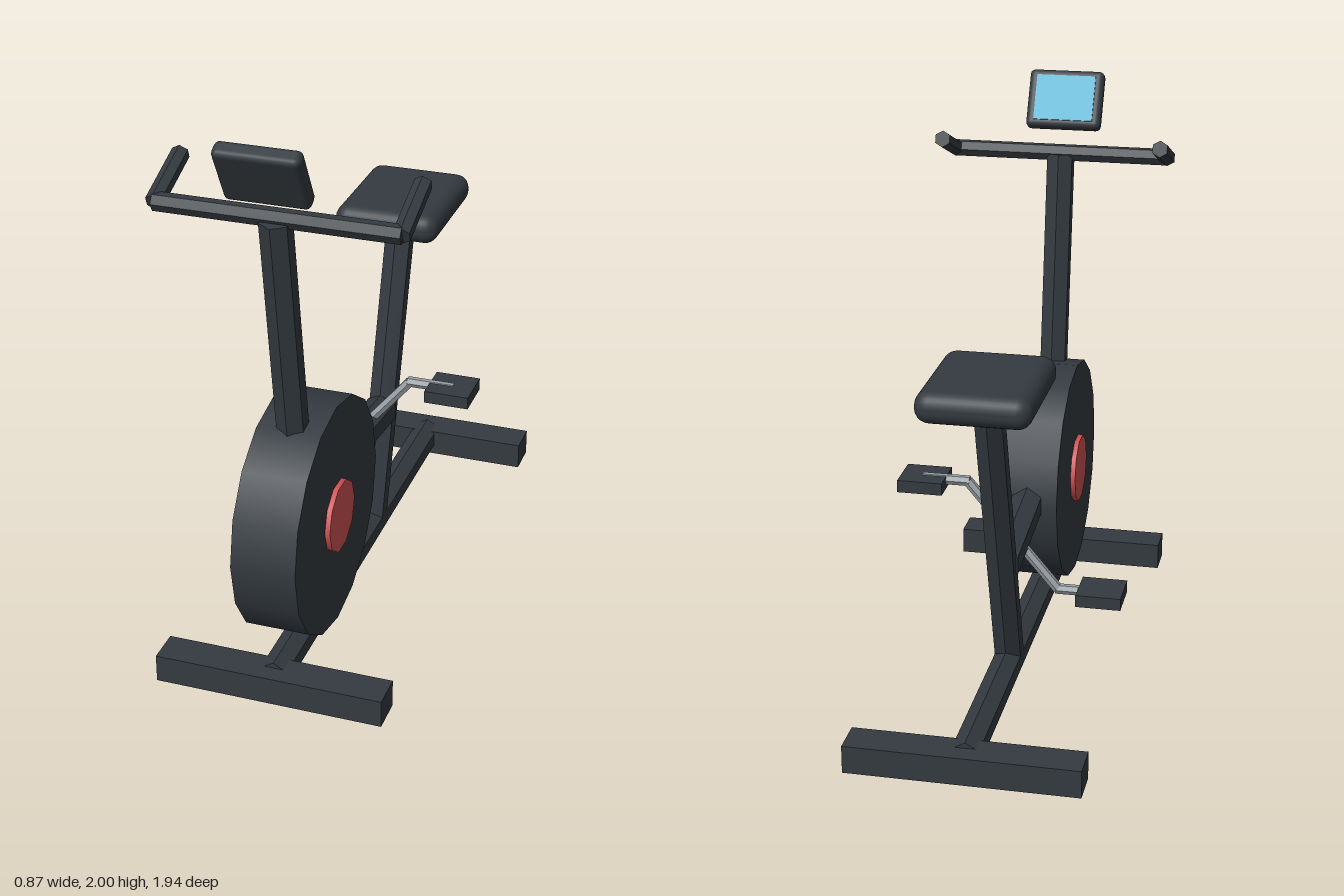
import * as THREE from 'three';
import { toCreasedNormals } from 'three/addons/utils/BufferGeometryUtils.js';
import { RoundedBoxGeometry } from 'three/addons/geometries/RoundedBoxGeometry.js';

function material(name, color) {
  const m = new THREE.MeshStandardMaterial({ color });
  m.name = name;
  return m;
}

export function createModel() {
  const frame = material('charcoal', 0x343a40);
  const red = material('red', 0xd05252);
  const steel = material('steel', 0x9aa0a6);
  const glass = material('screen blue', 0x4fb3d3);

  const model = new THREE.Group();
  model.name = 'exerciseBike';

  function add(name, geometry, mat, x = 0, y = 0, z = 0, parent = model) {
    const mesh = new THREE.Mesh(geometry, mat);
    mesh.name = name;
    mesh.position.set(x, y, z);
    parent.add(mesh);
    return mesh;
  }

  // Six-sided bar between two points
  function bar(name, from, to, radius, mat = frame, parent = model) {
    const a = new THREE.Vector3(...from);
    const b = new THREE.Vector3(...to);
    const dir = b.clone().sub(a);
    const geometry = toCreasedNormals(new THREE.CylinderGeometry(radius, radius, dir.length(), 6), 0.6);
    const mid = a.add(b).multiplyScalar(0.5);
    const mesh = add(name, geometry, mat, mid.x, mid.y, mid.z, parent);
    mesh.quaternion.setFromUnitVectors(new THREE.Vector3(0, 1, 0), dir.normalize());
    return mesh;
  }

  // Drum lying along x
  function drum(name, radius, width, sides, mat) {
    const geometry = new THREE.CylinderGeometry(radius, radius, width, sides);
    geometry.rotateZ(Math.PI / 2);
    return add(name, geometry, mat, 0, 0.53, 0.55);
  }

  // Base
  add('frontFoot', new THREE.BoxGeometry(0.81, 0.1, 0.125), frame, 0, 0.05, 0.892);
  add('rearFoot', new THREE.BoxGeometry(0.81, 0.1, 0.13), frame, 0, 0.05, -0.905);
  bar('baseRail', [0, 0.065, 0.89], [0, 0.065, -0.9], 0.055);

  // Flywheel with a red hub disc on both sides
  drum('flywheel', 0.42, 0.226, 16, frame);
  drum('hub', 0.13, 0.262, 10, red);

  // Posts
  bar('handlebarPost', [0, 0.6, 0.62], [0, 1.71, 0.79], 0.055);
  bar('seatPost', [0, 0.07, -0.175], [0, 1.178, -0.51], 0.055);
  bar('crossBeam', [0, 0.575, 0.45], [0, 0.49, -0.29], 0.063);

  // Seat
  add('seat', new RoundedBoxGeometry(0.39, 0.11, 0.49, 3, 0.05), frame, 0, 1.235, -0.533);

  // Handlebar and grips
  bar('handlebar', [-0.41, 1.718, 0.785], [0.41, 1.718, 0.785], 0.032);

  // Cranks and pedals, opposite each other
  for (const s of [-1, 1]) {
    const side = s > 0 ? 'left' : 'right';
    bar(side + 'Grip', [s * 0.407, 1.715, 0.79], [s * 0.407, 1.8, 0.567], 0.031);

    const crank = new THREE.Group();
    crank.name = side + 'Crank';
    model.add(crank);
    const y = 0.525 + s * 0.197;
    bar('crankArm', [0, 0.525, -0.11], [s * 0.165, y, -0.11], 0.019, steel, crank);
    bar('pedalAxle', [s * 0.157, y, -0.11], [s * 0.33, y, -0.11], 0.019, steel, crank);
    add('pedal', new THREE.BoxGeometry(0.163, 0.045, 0.16), frame, s * 0.324, 0.518 + s * 0.195, -0.11, crank);
  }

  // Console leaning forward, screen facing the rider
  const console = new THREE.Group();
  console.name = 'console';
  console.position.set(0, 1.896, 0.885);
  console.rotation.x = 0.5;
  model.add(console);
  add('consoleBody', new RoundedBoxGeometry(0.285, 0.225, 0.062, 2, 0.02), frame, 0, 0, 0, console);
  add('screen', new THREE.BoxGeometry(0.225, 0.175, 0.008), glass, 0, 0, -0.032, console);

  return model;
}
